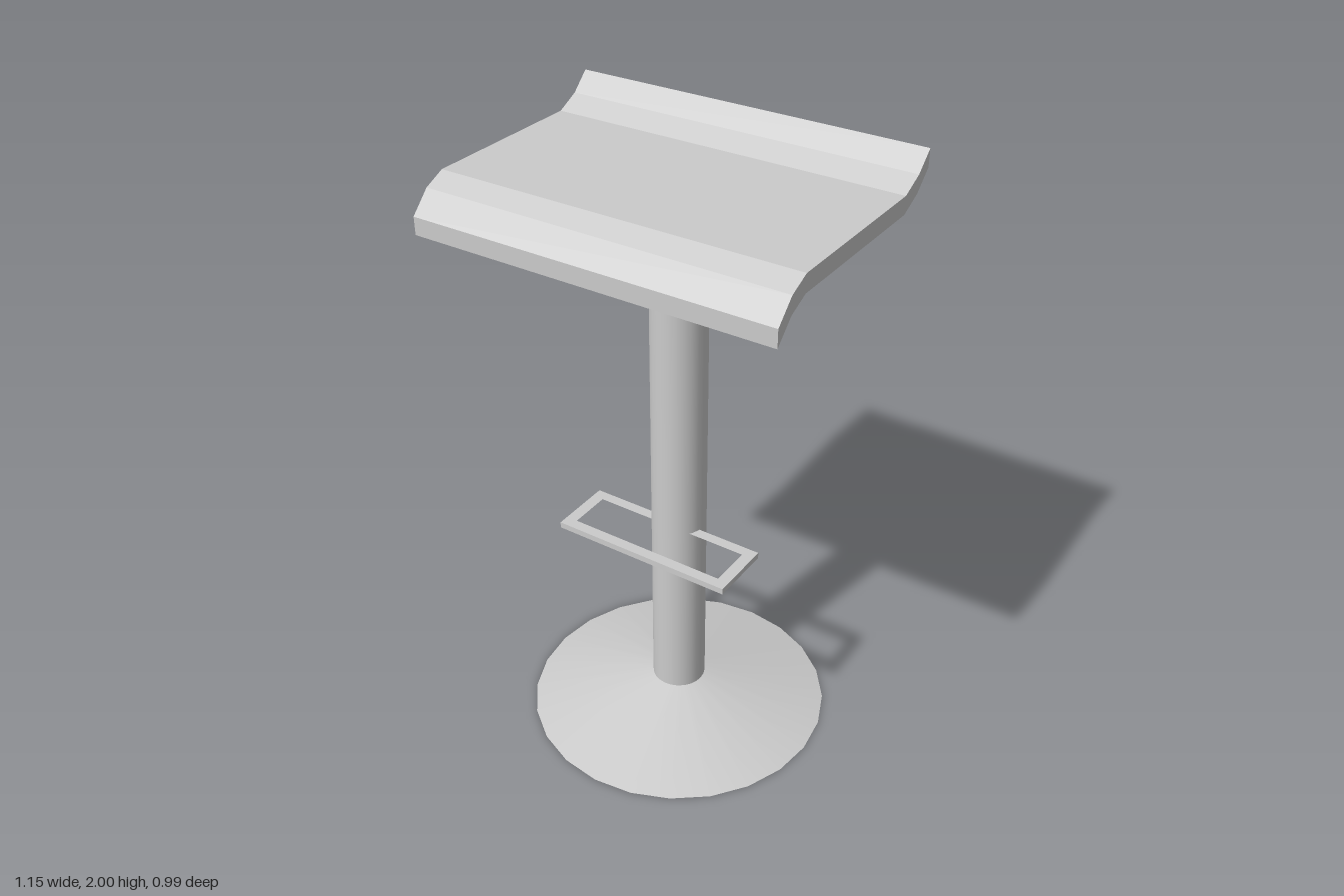
import * as THREE from 'three';

const material = new THREE.MeshStandardMaterial({ color: 0xcccccc });

function add(group, name, geometry, y = 0) {
  const mesh = new THREE.Mesh(geometry, material);
  mesh.name = name;
  mesh.position.y = y;
  group.add(mesh);
  return mesh;
}

const rectangle = (Type, x, z0, z1) => new Type([
  new THREE.Vector2(-x, -z0), new THREE.Vector2(x, -z0),
  new THREE.Vector2(x, -z1), new THREE.Vector2(-x, -z1),
]);

export function createModel() {
  const group = new THREE.Group();
  group.name = 'barStool';
  const sides = 24;

  // Conical foot and round column
  add(group, 'base', new THREE.CylinderGeometry(0.088, 0.497, 0.105, sides), 0.0525);
  add(group, 'column', new THREE.CylinderGeometry(0.088, 0.088, 1.755, sides), 0.9775);

  // Footrest: a flat rectangular frame, its rear bar running into the column
  const frame = rectangle(THREE.Shape, 0.303, 0.015, 0.225);
  frame.holes.push(rectangle(THREE.Path, 0.265, 0.05, 0.19));
  const footrest = new THREE.ExtrudeGeometry(frame, { depth: 0.02, bevelEnabled: false });
  footrest.rotateX(-Math.PI / 2);
  add(group, 'footrest', footrest, 0.727);

  // Seat: a bent sheet, dropping at the front and rising at the back (z, y)
  const top = [[0.447, 1.817], [0.385, 1.88], [0.318, 1.91],
    [-0.222, 1.91], [-0.295, 1.945], [-0.353, 2]];
  const bottom = top.map(([z, y]) => [z, y - 0.055]).reverse();
  const profile = new THREE.Shape([...top, ...bottom].map(([z, y]) => new THREE.Vector2(-z, y)));
  const seat = new THREE.ExtrudeGeometry(profile, { depth: 1.15, bevelEnabled: false });
  seat.translate(0, 0, -0.575);
  seat.rotateY(Math.PI / 2);
  add(group, 'seat', seat);

  return group;
}
